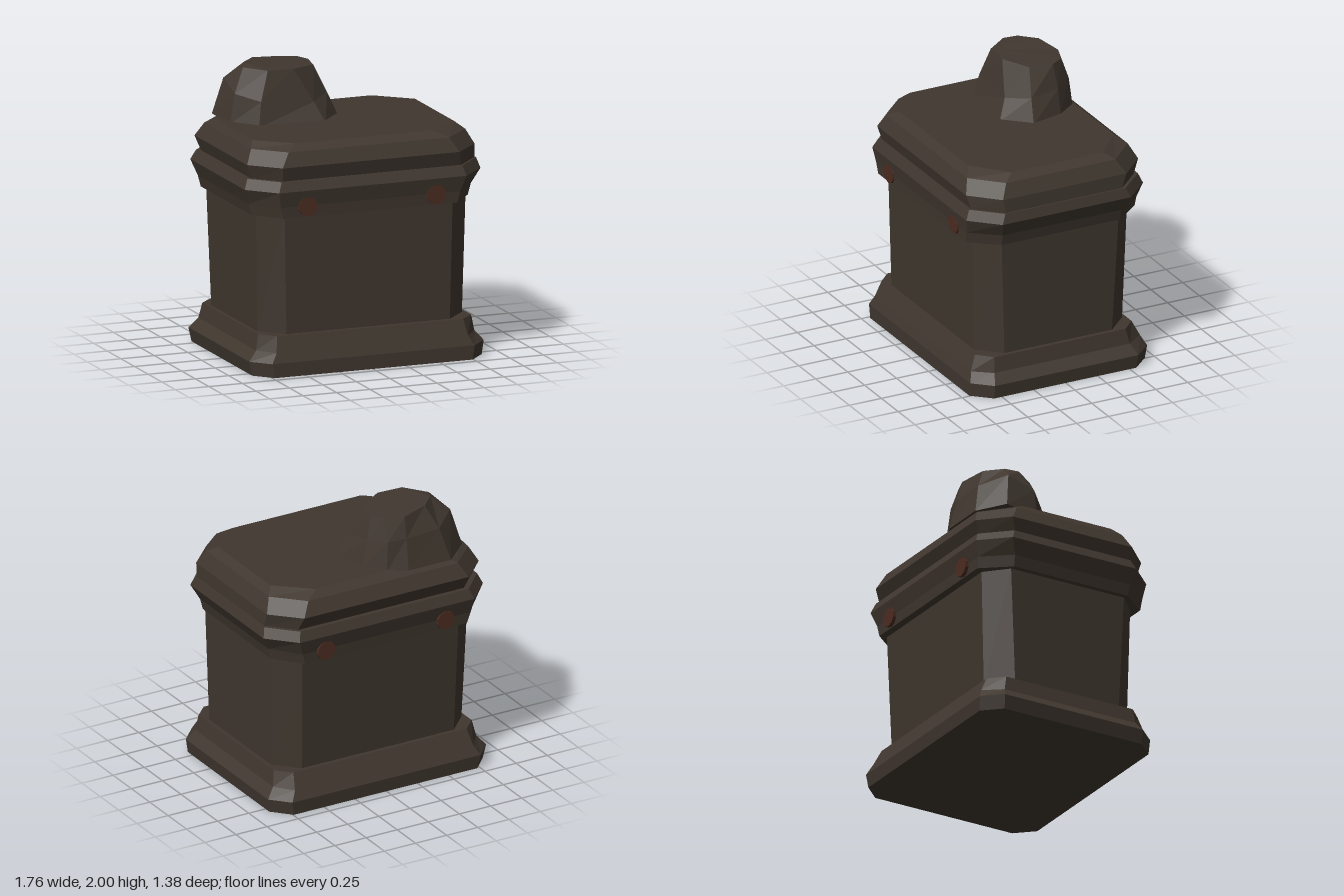
import * as THREE from 'three';

const stone = new THREE.MeshStandardMaterial({ color: 0x40372f, flatShading: true });
stone.name = 'dark stone';
const rust = new THREE.MeshStandardMaterial({ color: 0x4c2c20, flatShading: true });
rust.name = 'rusty metal';

// Joins rings of [x, y, z] points (front, left, back, right order) and caps both ends.
function loft(name, rings) {
  const n = rings[0].length, index = [];
  for (let r = 0; r < rings.length - 1; r++) {
    for (let i = 0; i < n; i++) {
      const j = (i + 1) % n, a = r * n + i, b = r * n + j;
      index.push(a, b, b + n, a, b + n, a + n);
    }
  }
  const top = (rings.length - 1) * n;
  for (let i = 1; i < n - 1; i++) {
    index.push(0, i + 1, i, top, top + i, top + i + 1);
  }
  const geometry = new THREE.BufferGeometry();
  geometry.setAttribute('position', new THREE.Float32BufferAttribute(rings.flat(2), 3));
  geometry.setIndex(index);
  const flat = geometry.toNonIndexed();
  flat.computeVertexNormals();
  const mesh = new THREE.Mesh(flat, stone);
  mesh.name = name;
  return mesh;
}

// Rectangle with cut corners: height, x range, z range, corner cut in x and z.
function octagon([y, x0, x1, z0, z1, cx, cz]) {
  return [
    [x0 + cx, y, z1], [x1 - cx, y, z1], [x1, y, z1 - cz], [x1, y, z0 + cz],
    [x1 - cx, y, z0], [x0 + cx, y, z0], [x0, y, z0 + cz], [x0, y, z1 - cz],
  ];
}

export function createModel() {
  const model = new THREE.Group();
  model.name = 'stonePedestal';

  // Stacked mouldings, each from bottom to top
  const tiers = {
    base: [
      [0, -0.85, 0.865, -0.68, 0.69, 0.12, 0.13],
      [0.1, -0.87, 0.88, -0.69, 0.69, 0.12, 0.13],
      [0.17, -0.81, 0.82, -0.655, 0.665, 0.1, 0.13],
      [0.28, -0.79, 0.8, -0.6, 0.625, 0.1, 0.1],
    ],
    column: [
      [0.27, -0.76, 0.77, -0.57, 0.59, 0.155, 0.16],
      [1.13, -0.78, 0.785, -0.6, 0.605, 0.155, 0.145],
    ],
    band: [
      [1.12, -0.82, 0.8, -0.655, 0.665, 0.16, 0.2],
      [1.2, -0.84, 0.82, -0.66, 0.67, 0.16, 0.2],
      [1.31, -0.88, 0.88, -0.69, 0.69, 0.18, 0.19],
      [1.38, -0.85, 0.86, -0.66, 0.66, 0.18, 0.19],
    ],
    lid: [
      [1.375, -0.82, 0.85, -0.625, 0.64, 0.17, 0.18],
      [1.48, -0.855, 0.845, -0.675, 0.67, 0.19, 0.19],
      [1.58, -0.805, 0.795, -0.625, 0.63, 0.2, 0.2],
      [1.625, -0.77, 0.74, -0.565, 0.57, 0.24, 0.21],
    ],
  };
  for (const [name, rings] of Object.entries(tiers)) {
    model.add(loft(name, rings.map(octagon)));
  }

  // Chipped boulder resting off centre on the lid
  model.add(loft('boulder', [
    [[-0.56, 1.61, -0.02], [-0.08, 1.61, 0.02], [0.085, 1.61, -0.16], [0.03, 1.61, -0.4], [-0.08, 1.61, -0.55],
      [-0.22, 1.61, -0.61], [-0.56, 1.61, -0.61], [-0.735, 1.63, -0.46], [-0.705, 1.61, -0.2]],
    [[-0.53, 1.78, -0.06], [-0.14, 1.75, -0.05], [0.01, 1.78, -0.18], [-0.01, 1.8, -0.4], [-0.1, 1.82, -0.53],
      [-0.23, 1.83, -0.56], [-0.5, 1.84, -0.55], [-0.67, 1.89, -0.41], [-0.67, 1.82, -0.2]],
    [[-0.46, 1.985, -0.11], [-0.27, 1.985, -0.1], [-0.08, 1.975, -0.21], [-0.05, 1.975, -0.38], [-0.1, 1.98, -0.47],
      [-0.24, 1.98, -0.52], [-0.43, 2, -0.47], [-0.54, 2, -0.36], [-0.58, 1.985, -0.27]],
  ]));

  // Round studs on the front and back of the band
  for (const side of [1, -1]) {
    for (const x of [-0.48, 0.48]) {
      const stud = new THREE.Mesh(new THREE.CylinderGeometry(0.07, 0.07, 0.05, 10), rust);
      stud.name = side > 0 ? 'frontStud' : 'backStud';
      stud.rotation.x = Math.PI / 2;
      stud.position.set(x, 1.195, side * 0.656);
      model.add(stud);
    }
  }
  return model;
}
